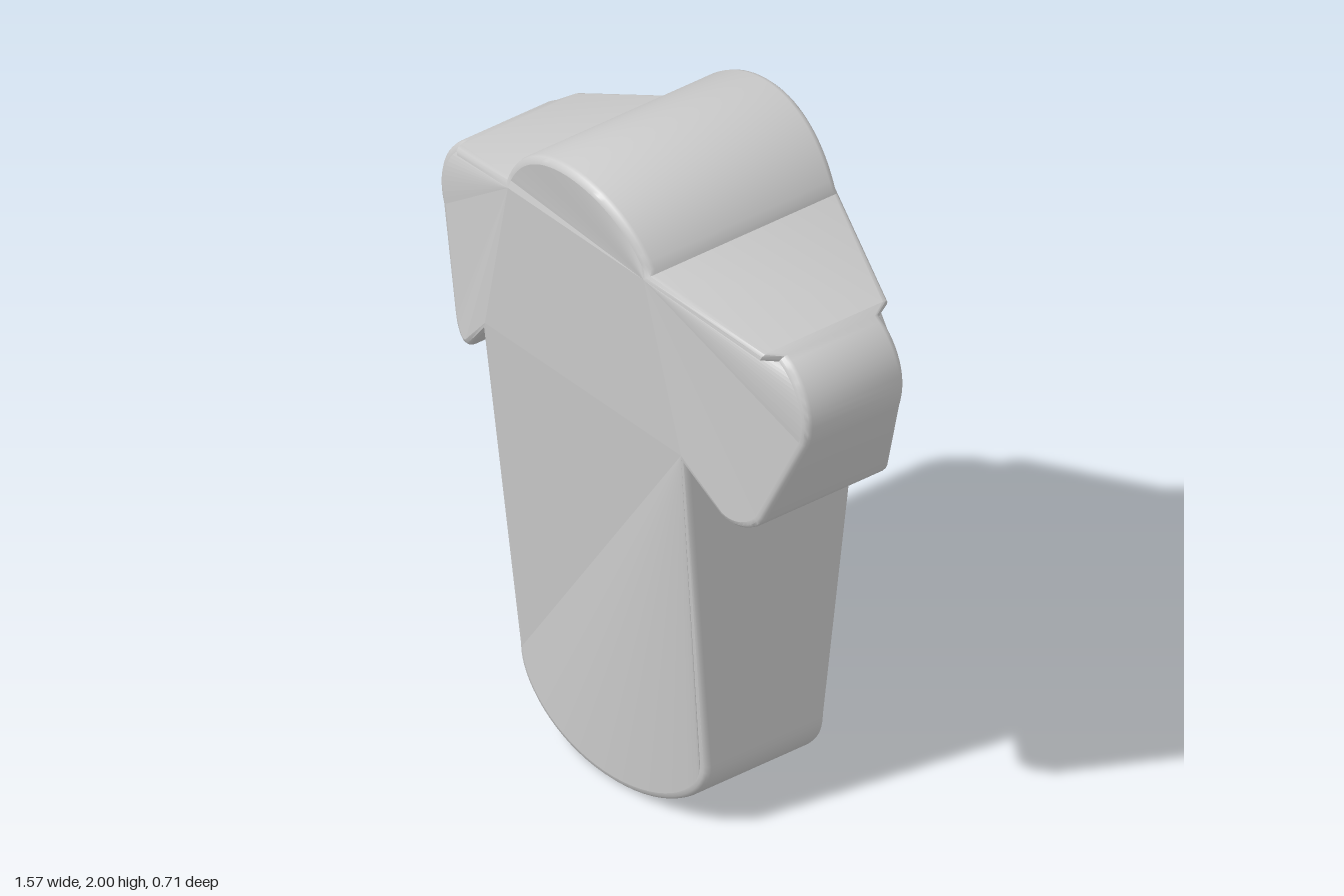
import * as THREE from 'three';
import { toCreasedNormals } from 'three/addons/utils/BufferGeometryUtils.js';

const BEVEL = 0.022;

// Right half of the shirt outline, bottom centre to top centre: x, y, half depth
function halfOutline() {
  const pts = [];
  const add = (x, y, d) => pts.push({ x, y, d });
  const arc = (cx, cy, rx, ry, a0, a1, n, depth) => {
    for (let i = 0; i <= n; i++) {
      const a = THREE.MathUtils.degToRad(a0 + (a1 - a0) * i / n);
      const x = cx + rx * Math.cos(a);
      add(x, cy + ry * Math.sin(a), depth(x));
    }
  };
  const upper = x => 0.355 - 0.3 * x * x;

  arc(0, 0.22, 0.4, 0.22, -90, 0, 16, x => 0.235 - 0.16 * x * x); // hem
  const armpit = pts.length;
  add(0.432, 1.24, 0.308);
  arc(0.585, 1.185, 0.078, 0.078, -133, -24, 10, upper); // cuff corner
  arc(0.585, 1.495, 0.2, 0.2, -20, 62, 14, () => 0.172); // sleeve end
  add(0.655, 1.685, 0.22); // shoulder
  const neck = pts.length;
  add(0.308, 1.805, 0.333);
  arc(0, 1.652, 0.348, 0.348, 29, 90, 16, upper); // collar
  return { pts, armpit, neck };
}

// Moves every point inward along its mitre
function inset(pts, amount) {
  const n = pts.length;
  return pts.map((p, i) => {
    const a = pts[(i + n - 1) % n], b = pts[(i + 1) % n];
    const u = new THREE.Vector2(p.x - a.x, p.y - a.y).normalize();
    const v = new THREE.Vector2(b.x - p.x, b.y - p.y).normalize();
    const m = new THREE.Vector2(-u.y - v.y, u.x + v.x);
    const k = 2 * amount / Math.max(m.lengthSq(), 0.8);
    return { x: p.x + m.x * k, y: p.y + m.y * k, d: p.d };
  });
}

function geometryFrom(positions) {
  const g = new THREE.BufferGeometry();
  g.setAttribute('position', new THREE.Float32BufferAttribute(positions, 3));
  g.computeVertexNormals();
  return g;
}

export function createModel() {
  const group = new THREE.Group();
  group.name = 'shirt';
  const { pts: half, armpit, neck } = halfOutline();
  const mirrored = half.slice(1, -1).reverse().map(p => ({ x: -p.x, y: p.y, d: p.d }));
  const outline = [...half, ...mirrored];
  const count = outline.length;
  const mirror = i => (count - i) % count;

  // Rings from the back face, round the bevels, to the front face
  const levels = [0, 1, 2, 3].map(i => {
    const a = i / 3 * Math.PI / 2;
    return { ring: inset(outline, BEVEL * (1 - Math.cos(a))), drop: BEVEL * (1 - Math.sin(a)) };
  });
  const rings = [
    ...levels.slice().reverse().map(l => l.ring.map(p => [p.x, p.y, -(p.d - l.drop)])),
    ...levels.map(l => l.ring.map(p => [p.x, p.y, p.d - l.drop])),
  ];

  // Edge wall with rounded rims
  const wall = [];
  for (let r = 0; r < rings.length - 1; r++) {
    for (let i = 0; i < count; i++) {
      const j = (i + 1) % count;
      const a = rings[r][i], b = rings[r][j], c = rings[r + 1][j], d = rings[r + 1][i];
      wall.push(...a, ...b, ...c, ...a, ...c, ...d);
    }
  }
  const material = new THREE.MeshStandardMaterial({ color: 0xcccccc });
  const edge = new THREE.Mesh(toCreasedNormals(geometryFrom(wall), 0.6), material);
  edge.name = 'edge';
  group.add(edge);

  // Faceted panels, each a fan round its first corner
  const range = (from, to) => Array.from({ length: to - from + 1 }, (_, i) => (from + i) % count);
  const panels = {
    skirt: [armpit, ...range(mirror(armpit), count + armpit - 1)],
    chest: [armpit, neck, mirror(neck), mirror(armpit)],
    collar: range(neck, mirror(neck)),
    leftSleeve: [neck, ...range(armpit, neck - 1)],
    rightSleeve: range(mirror(neck), mirror(armpit)),
  };
  for (const [side, ring] of [['Front', rings[rings.length - 1]], ['Back', rings[0]]]) {
    for (const [name, loop] of Object.entries(panels)) {
      const tris = [];
      for (let k = 1; k < loop.length - 1; k++) {
        const [a, b, c] = [loop[0], loop[k], loop[k + 1]].map(i => ring[i]);
        tris.push(...a, ...(side === 'Front' ? [...b, ...c] : [...c, ...b]));
      }
      const panel = new THREE.Mesh(geometryFrom(tris), material);
      panel.name = name + side;
      group.add(panel);
    }
  }
  return group;
}
